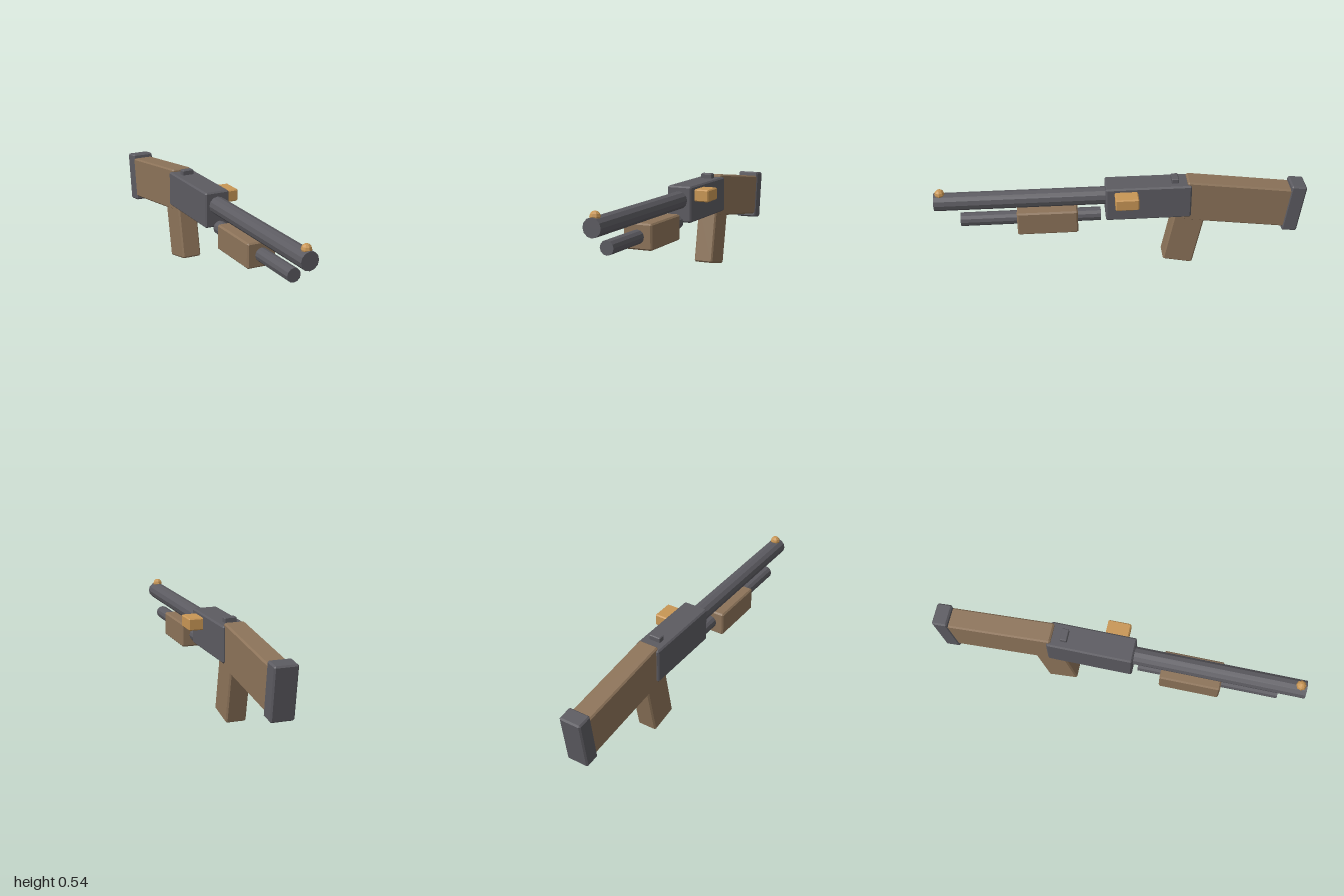
import * as THREE from 'three';
import { ConvexGeometry } from 'three/addons/geometries/ConvexGeometry.js';

const material = (name, color) => {
  const m = new THREE.MeshStandardMaterial({ color });
  m.name = name;
  return m;
};

// Box with every edge cut by a flat chamfer
function chamferBox(w, h, d, c) {
  const points = [];
  for (const x of [-1, 1]) for (const y of [-1, 1]) for (const z of [-1, 1]) {
    for (let axis = 0; axis < 3; axis++) {
      const inset = [0, 1, 2].map((i) => (i === axis ? 0 : c));
      points.push(new THREE.Vector3(x * (w / 2 - inset[0]), y * (h / 2 - inset[1]), z * (d / 2 - inset[2])));
    }
  }
  return new ConvexGeometry(points);
}

export function createModel() {
  const metal = material('dark metal', 0x5c5b61);
  const wood = material('brown wood', 0x8c7359);
  const brass = material('brass', 0xc89655);
  for (const m of [metal, wood, brass]) m.flatShading = true;

  const group = new THREE.Group();
  const axisX = -0.036;

  const add = (name, geometry, mat, x, y, z, tilt = 0) => {
    const mesh = new THREE.Mesh(geometry, mat);
    mesh.name = name;
    mesh.position.set(x, y, z);
    mesh.rotation.x = tilt;
    group.add(mesh);
  };
  const box = (name, mat, [w, h, d], x, y, z, tilt = 0, c = 0.008) =>
    add(name, chamferBox(w, h, d, c), mat, x, y, z, tilt);
  const tube = (name, r, y, z0, z1) =>
    add(name, new THREE.CylinderGeometry(r, r, z1 - z0, 12).rotateX(Math.PI / 2), metal, axisX, y, (z0 + z1) / 2);

  // Receiver and its small fittings
  box('receiver', metal, [0.14, 0.195, 0.46], axisX, 0.4125, -0.14);
  box('rearSight', metal, [0.066, 0.04, 0.038], axisX, 0.517, -0.284, 0, 0.004);
  box('sideHandle', brass, [0.1, 0.066, 0.124], 0.063, 0.458, -0.019, 0, 0.006);

  // Tubes, sliding grip and bead
  tube('barrel', 0.048, 0.436, 0.05, 1.0);
  tube('lowerTube', 0.037, 0.32, 0.115, 0.868);
  box('slidingGrip', wood, [0.159, 0.135, 0.325], axisX, 0.3205, 0.403);
  add('frontBead', new THREE.SphereGeometry(0.027, 8, 6), brass, axisX, 0.485, 0.967);

  // Sloping stock with end pad, and raked handle
  box('stock', wood, [0.114, 0.235, 0.58], axisX, 0.371, -0.623, -0.13);
  box('stockPad', metal, [0.124, 0.281, 0.085], axisX, 0.331, -0.938, -0.13);
  box('handle', wood, [0.111, 0.31, 0.168], axisX, 0.168, -0.336, -0.2);

  return group;
}
